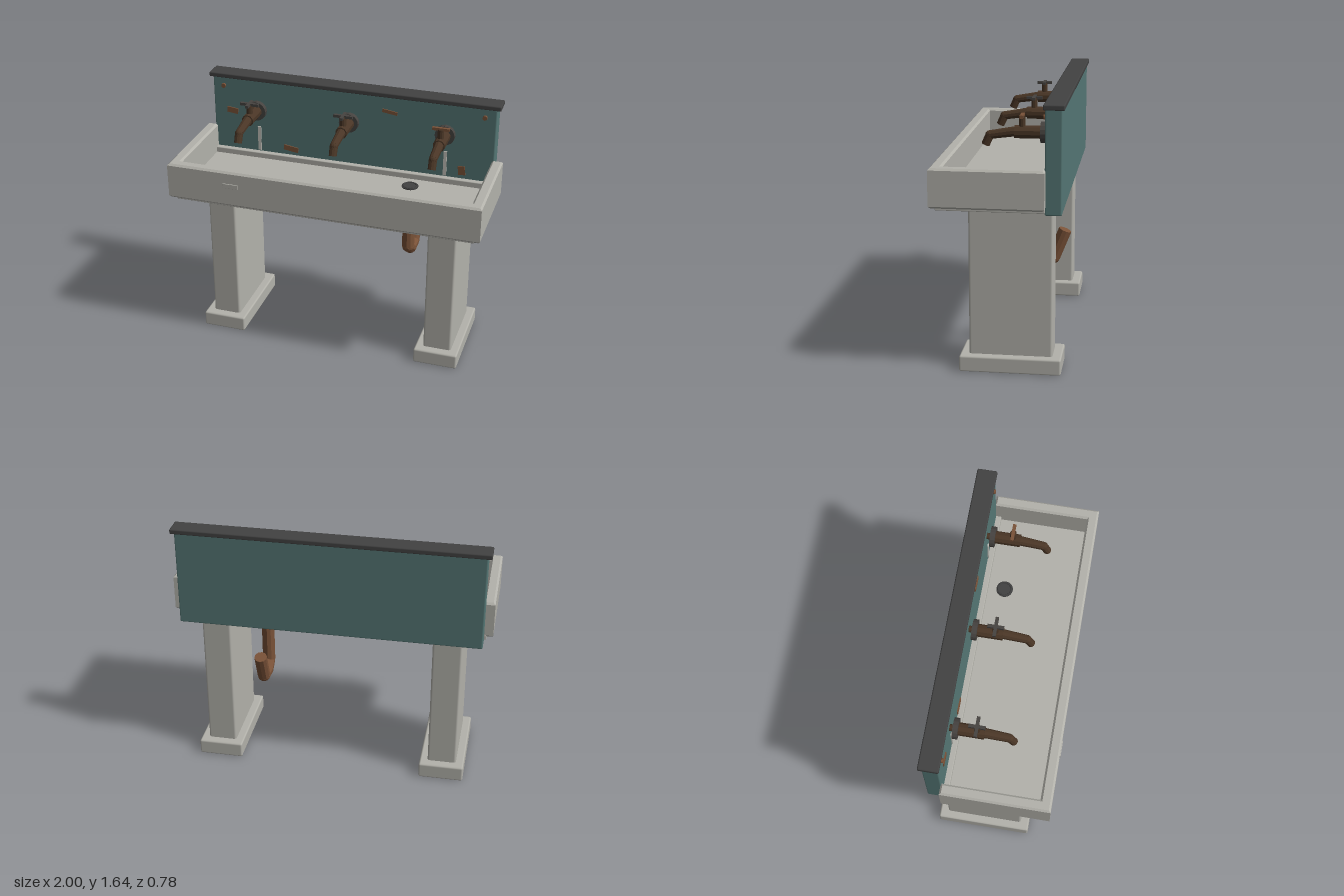
import * as THREE from 'three';
import { RoundedBoxGeometry } from 'three/addons/geometries/RoundedBoxGeometry.js';

const mat = (name, color, flat = false) => {
  const m = new THREE.MeshStandardMaterial({ color, flatShading: flat });
  m.name = name;
  return m;
};

export function createModel() {
  const stone = mat('pale stone', 0xb3b2ab);
  const teal = mat('teal panel', 0x557775);
  const iron = mat('dark iron', 0x424242);
  const bronze = mat('dark bronze', 0x4a3626, true);
  const copper = mat('rusty copper', 0x7a5238, true);
  const fixture = mat('fixture grey', 0x464340, true);
  const lime = mat('limescale', 0xc4c3bc);

  const root = new THREE.Group();
  root.name = 'washTrough';

  const add = (parent, name, geo, material, x = 0, y = 0, z = 0) => {
    const m = new THREE.Mesh(geo, material);
    m.name = name;
    m.position.set(x, y, z);
    parent.add(m);
    return m;
  };
  // softened box given by its min and max corners
  const block = (name, material, [x0, y0, z0], [x1, y1, z1], r = 0.01) =>
    add(root, name, new RoundedBoxGeometry(x1 - x0, y1 - y0, z1 - z0, 1, r), material,
      (x0 + x1) / 2, (y0 + y1) / 2, (z0 + z1) / 2);
  // cylinder between two points
  const rod = (parent, name, material, a, b, r0, r1 = r0, sides = 10) => {
    const p = new THREE.Vector3(...a), q = new THREE.Vector3(...b);
    const d = q.clone().sub(p);
    const m = add(parent, name, new THREE.CylinderGeometry(r1, r0, d.length(), sides), material);
    m.position.copy(p).add(q).multiplyScalar(0.5);
    m.quaternion.setFromUnitVectors(new THREE.Vector3(0, 1, 0), d.normalize());
    return m;
  };

  // pedestal legs
  for (const s of [-1, 1]) {
    block('leg', stone, [s * 0.73 - 0.092, 0.08, -0.31], [s * 0.73 + 0.092, 1.03, 0.19], 0.015);
    block('legFoot', stone, [s * 0.73 - 0.143, 0, -0.365], [s * 0.73 + 0.143, 0.1, 0.245], 0.012);
  }

  // trough walls: U-shaped rim, open towards the back panel
  const rim = new THREE.Shape([
    [-1, 0.275], [-1, -0.39], [1, -0.39], [1, 0.275],
    [0.93, 0.275], [0.93, -0.32], [-0.93, -0.32], [-0.93, 0.275],
  ].map(([x, y]) => new THREE.Vector2(x, y)));
  const bevel = 0.012;
  const walls = new THREE.ExtrudeGeometry(rim, {
    depth: 0.235 - 2 * bevel, bevelSize: bevel, bevelThickness: bevel,
    bevelOffset: -bevel, bevelSegments: 1,
  });
  walls.rotateX(-Math.PI / 2);
  add(root, 'troughWalls', walls, stone, 0, 1.035 + bevel, 0);
  block('troughFloor', stone, [-0.95, 1.037, -0.275], [0.95, 1.078, 0.34], 0.004);
  block('troughBackLedge', stone, [-0.94, 1.04, -0.275], [0.94, 1.115, -0.235], 0.006);
  block('troughUnderside', stone, [-0.96, 1.015, -0.275], [0.96, 1.045, 0.36], 0.006);
  block('frontScratch', stone, [-0.63, 1.16, 0.388], [-0.53, 1.19, 0.395], 0.002);

  // back panel with its cap
  block('backPanel', teal, [-0.945, 1, -0.37], [0.945, 1.615, -0.27]);
  block('panelCap', iron, [-0.968, 1.608, -0.384], [0.968, 1.64, -0.26], 0.008);

  // rust patches, limescale streaks and screws on the panel
  for (const [x, y, w, h, turn] of [
    [-0.815, 1.385, 0.075, 0.038, -0.12], [0.26, 1.512, 0.1, 0.022, -0.15],
    [-0.41, 1.16, 0.1, 0.035, -0.15], [0.74, 1.17, 0.045, 0.06, 0.12],
  ]) {
    add(root, 'rustPatch', new THREE.BoxGeometry(w, h, 0.008), copper, x, y, -0.267).rotation.z = turn;
  }
  for (const s of [-1, 1]) {
    add(root, 'limescaleStreak', new THREE.BoxGeometry(0.022, 0.17, 0.008), lime, s * 0.63, 1.207, -0.267);
    rod(root, 'panelScrew', copper, [s * 0.87, 1.555, -0.275], [s * 0.87, 1.555, -0.255], 0.015);
  }

  // drain
  rod(root, 'drainPlate', iron, [0.44, 1.07, -0.13], [0.44, 1.085, -0.13], 0.053, 0.053, 20);
  const ring = add(root, 'drainRing', new THREE.TorusGeometry(0.043, 0.005, 6, 20), iron, 0.44, 1.085, -0.13);
  ring.rotation.x = Math.PI / 2;

  // waste pipe: straight drop, short bend, upturned tail
  const pipe = [[1.03, -0.13], [0.64, -0.13], [0.597, -0.19], [0.605, -0.277], [0.782, -0.347]]
    .map(([y, z]) => [0.44, y, z]);
  for (let i = 0; i < pipe.length - 1; i++) {
    rod(root, 'wastePipe', copper, pipe[i], pipe[i + 1], 0.04);
    if (i) add(root, 'pipeElbow', new THREE.SphereGeometry(0.04, 10, 8), copper, ...pipe[i]);
  }

  // three wall taps; the last one has only a rusted bar for a handle
  [-0.63, 0, 0.63].forEach((x, i) => {
    const tap = new THREE.Group();
    tap.name = 'tap';
    tap.position.set(x, 1.42, 0);
    root.add(tap);
    rod(tap, 'tapInlet', bronze, [0, 0, -0.272], [0, 0, -0.24], 0.02);
    rod(tap, 'tapFlange', fixture, [0, 0, -0.248], [0, 0, -0.216], 0.064, 0.064, 16);
    rod(tap, 'tapBody', bronze, [0, 0, -0.22], [0, 0, -0.06], 0.039);
    rod(tap, 'tapSpout', bronze, [0, 0.002, -0.065], [0, -0.022, 0.09], 0.03, 0.026);
    add(tap, 'spoutElbow', new THREE.SphereGeometry(0.026, 10, 8), bronze, 0, -0.022, 0.088);
    rod(tap, 'tapNozzle', bronze, [0, -0.02, 0.085], [0, -0.08, 0.112], 0.026, 0.025);
    rod(tap, 'tapStem', bronze, [0, 0.02, -0.105], [0, 0.095, -0.105], 0.02);
    const bar = i < 2 ? fixture : copper;
    add(tap, 'handleBar', new THREE.BoxGeometry(i < 2 ? 0.124 : 0.11, 0.018, 0.02), bar, 0, 0.096, -0.105);
    if (i < 2) add(tap, 'handleCrossBar', new THREE.BoxGeometry(0.02, 0.018, 0.1), bar, 0, 0.096, -0.105);
  });

  return root;
}
